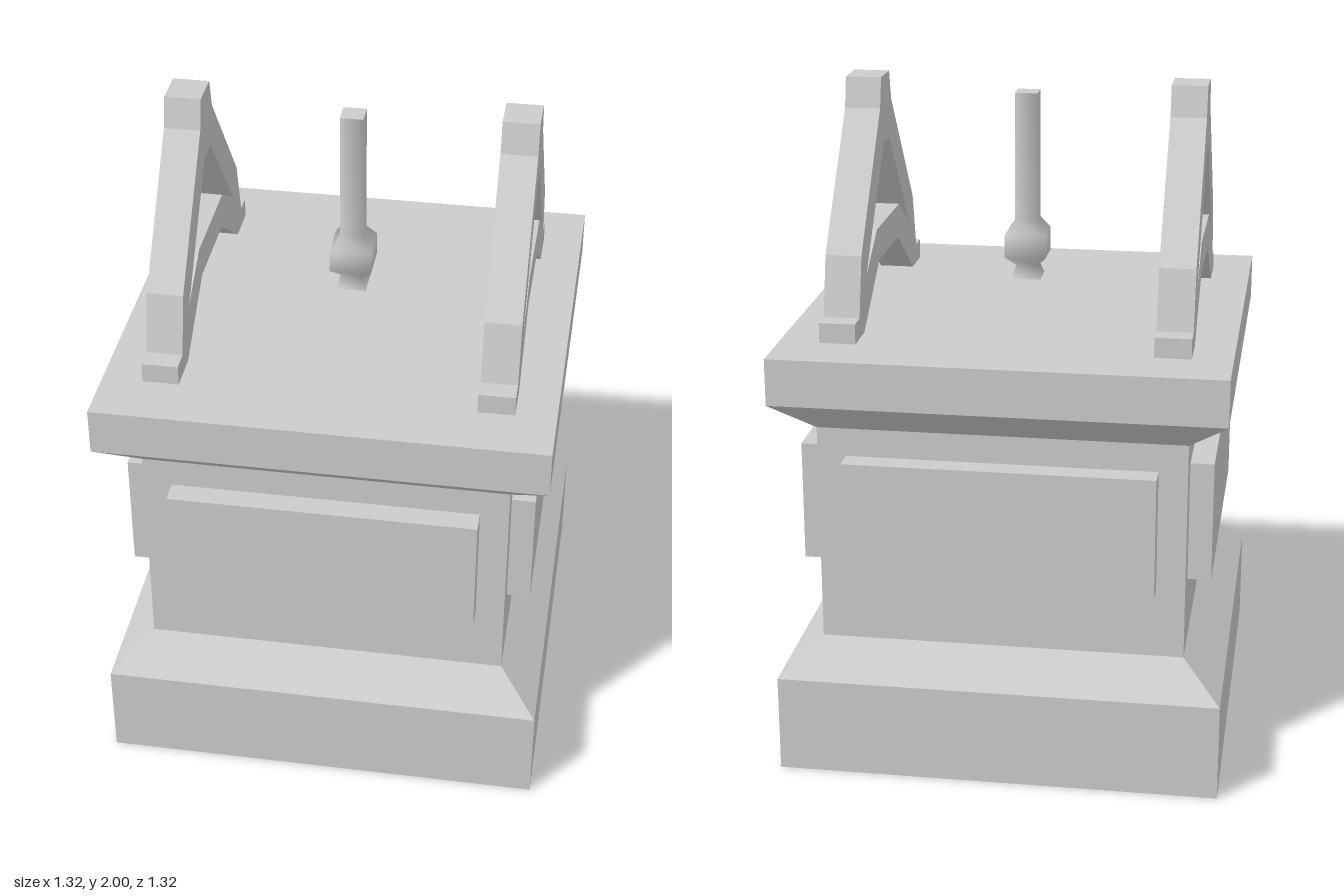
import * as THREE from 'three';

const solid = new THREE.MeshStandardMaterial({ color: 0xcccccc });
const shell = new THREE.MeshStandardMaterial({ color: 0xcccccc, side: THREE.DoubleSide });
const vecs = (pts) => pts.map(([x, y]) => new THREE.Vector2(x, y));

function part(name, geometry, material = solid) {
  const mesh = new THREE.Mesh(geometry, material);
  mesh.name = name;
  return mesh;
}

// Four-sided lathe; profile points are [half width, height], bottom to top
function squareLathe(profile) {
  const pts = vecs(profile.map(([h, y]) => [h * Math.SQRT2, y]));
  return new THREE.LatheGeometry(pts, 4, Math.PI / 4);
}

function flat(geometry) {
  const g = geometry.toNonIndexed();
  g.computeVertexNormals();
  return g;
}

// One pedestal side: wall with an opening that bulges out into a raised panel
function pedestalSide() {
  const side = new THREE.Group();
  side.name = 'pedestalSide';
  const h = 0.543, y0 = 0.395, y1 = 1.06;
  const pw = 0.458, p0 = 0.61, p1 = 0.975, out = 0.07;
  const shape = new THREE.Shape(vecs([[-h, y0], [h, y0], [h, y1], [-h, y1]]));
  shape.holes.push(new THREE.Path(vecs([[-pw, p0], [-pw, p1], [pw, p1], [pw, p0]])));
  const wall = part('wall', new THREE.ShapeGeometry(shape), shell);
  wall.position.z = h;

  // Box without its back face, so it is hollow from inside the pedestal
  const box = new THREE.BoxGeometry(pw * 2, p1 - p0, out);
  box.setIndex(Array.from(box.index.array).slice(0, 30));
  const panel = part('raisedPanel', box, shell);
  panel.position.set(0, (p0 + p1) / 2, h + out / 2);
  side.add(wall, panel);
  return side;
}

// A-shaped support with small feet and a raised cross brace
function supportGeometry() {
  const half = [[0.487, 1.3], [0.487, 1.36], [0.425, 1.36], [0.38, 1.535], [0.08, 1.91], [0.058, 2]];
  const under = [[0.14, 1.46], [0.365, 1.3]];
  const right = [...under, ...half];
  const left = right.map(([x, y]) => [-x, y]).reverse();
  const shape = new THREE.Shape(vecs([...right, ...left]));
  shape.holes.push(new THREE.Path(vecs([
    [0.04, 1.8], [0.32, 1.46], [0.163, 1.56], [-0.163, 1.56], [-0.32, 1.46], [-0.04, 1.8],
  ])));
  const width = 0.107;
  const g = new THREE.ExtrudeGeometry(shape, { depth: width, bevelEnabled: false });
  g.translate(0, 0, -width / 2);
  g.rotateY(Math.PI / 2);
  return g;
}

// Floating square spindle with a bulb and a flared tip
function spindle() {
  const group = new THREE.Group();
  group.name = 'spindle';
  const top = 1.96, bottom = 1.39;
  group.add(part('spindleBody', squareLathe([
    [0.045, bottom], [0.031, 1.43], [0.062, 1.46], [0.062, 1.53], [0.034, 1.57], [0.034, top],
  ]), shell));
  for (const [name, size, y, dir] of [['spindleTop', 0.068, top, -1], ['spindleTip', 0.09, bottom, 1]]) {
    const cap = part(name, new THREE.PlaneGeometry(size, size));
    cap.rotation.x = dir * Math.PI / 2;
    cap.position.y = y;
    group.add(cap);
  }
  return group;
}

export function createModel() {
  const model = new THREE.Group();
  model.name = 'pedestalWithSupports';

  // Hollow pedestal, open underneath
  model.add(part('base', flat(squareLathe([[0.66, 0], [0.66, 0.295], [0.543, 0.395]])), shell));
  for (let i = 0; i < 4; i++) {
    const side = pedestalSide();
    side.rotation.y = i * Math.PI / 2;
    model.add(side);
  }
  model.add(part('cornice', flat(squareLathe([[0.543, 1.06], [0.66, 1.16], [0.66, 1.3]])), shell));
  const top = part('tabletop', new THREE.PlaneGeometry(1.32, 1.32), shell);
  top.rotation.x = -Math.PI / 2;
  top.position.y = 1.3;
  model.add(top);

  // Pair of supports
  const support = supportGeometry();
  for (const [name, s] of [['leftSupport', 1], ['rightSupport', -1]]) {
    const mesh = part(name, support);
    mesh.position.x = s * 0.487;
    model.add(mesh);
  }

  model.add(spindle());
  return model;
}
